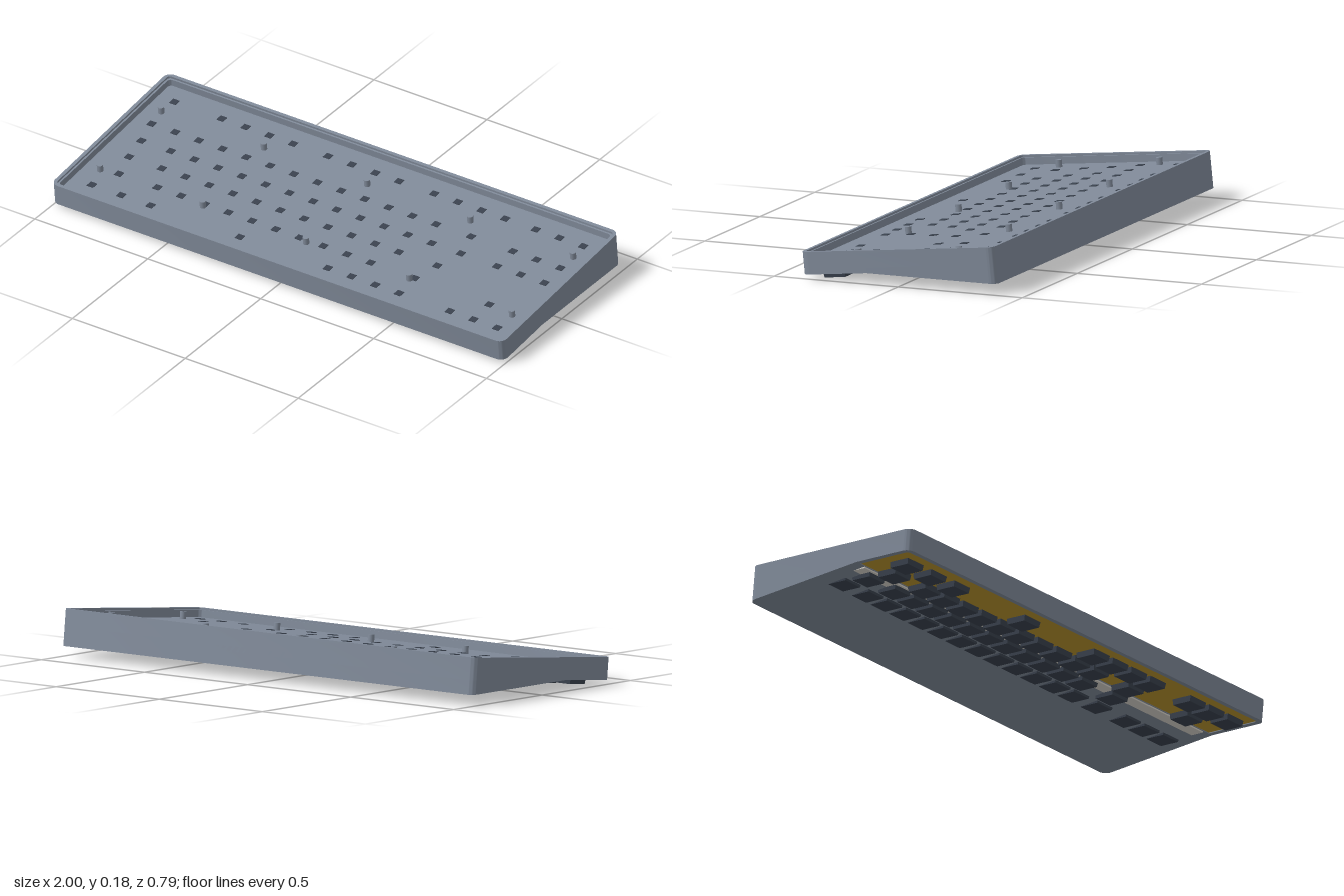
import * as THREE from 'three';
import { toCreasedNormals } from 'three/addons/utils/BufferGeometryUtils.js';

const TILT = 0.103;            // typing angle of the whole case
const HALF_X = 1, HALF_Z = 0.39;
const FLOOR = -0.035, RIM_BOTTOM = -0.085;
const ORIGIN_Y = 0.14, ORIGIN_Z = 0.0075, FOOT_Y = 0.042;

const paint = (color) => new THREE.MeshStandardMaterial({ color });

// Rounded rectangle in x/z; front corners can be left square
function roundedRect(Type, hx, z0, z1, r, rf = r) {
  const s = new Type();
  s.moveTo(-hx + r, z0);
  s.lineTo(hx - r, z0);
  s.absarc(hx - r, z0 + r, r, -Math.PI / 2, 0, false);
  s.lineTo(hx, z1 - rf);
  if (rf > 0) s.absarc(hx - rf, z1 - rf, rf, 0, Math.PI / 2, false);
  s.lineTo(-hx + rf, z1);
  if (rf > 0) s.absarc(-hx + rf, z1 - rf, rf, Math.PI / 2, Math.PI, false);
  s.lineTo(-hx, z0 + r);
  s.absarc(-hx + r, z0 + r, r, Math.PI, Math.PI * 1.5, false);
  return s;
}

// Extrude a plan shape downwards from a top height
function slab(shape, top, depth) {
  const g = new THREE.ExtrudeGeometry(shape, { depth, bevelEnabled: false, curveSegments: 8 });
  g.rotateX(Math.PI / 2);
  g.translate(0, top, 0);
  return g;
}

export function createModel() {
  const model = new THREE.Group();
  model.name = 'keyboardCase';
  const tilted = new THREE.Group();
  tilted.name = 'tiltedAssembly';
  tilted.position.set(0, ORIGIN_Y, ORIGIN_Z);
  tilted.rotation.x = TILT;
  model.add(tilted);

  const caseMat = paint(0x808a99);
  const keyMat = paint(0x3a424e);
  const plateMat = paint(0xb8922c);
  const stripMat = paint(0xd6d2ca);

  const add = (name, geometry, material, x = 0, y = 0, z = 0, parent = tilted) => {
    const mesh = new THREE.Mesh(geometry, material);
    mesh.name = name;
    mesh.position.set(x, y, z);
    parent.add(mesh);
    return mesh;
  };
  const box = (name, w, top, bottom, z0, z1, mat) =>
    add(name, new THREE.BoxGeometry(w, top - bottom, z1 - z0), mat, 0, (top + bottom) / 2, (z0 + z1) / 2);

  // Surrounding wall, with a thin raised lip stepping out to the edge
  const ring = (wall, top, bottom) => {
    const shape = roundedRect(THREE.Shape, HALF_X, -HALF_Z, HALF_Z, 0.03);
    shape.holes.push(roundedRect(THREE.Path, HALF_X - wall, -HALF_Z + wall, HALF_Z - wall, 0.014));
    return toCreasedNormals(slab(shape, top, top - bottom), 0.6);
  };
  add('rimLip', ring(0.014, 0, -0.008), caseMat);
  add('rimWall', ring(0.021, -0.008, RIM_BOTTOM), caseMat);

  // Tray floor
  box('trayFloor', 1.97, FLOOR, -0.07, -0.38, 0.38, caseMat);

  // Rear wedge: its underside is pushed down onto a level plane
  const sin = Math.sin(TILT), cos = Math.cos(TILT);
  const levelAt = (z) => (z * sin - (ORIGIN_Y - FOOT_Y)) / cos;
  const wedgeFront = (RIM_BOTTOM * cos + ORIGIN_Y - FOOT_Y) / sin;
  const wedge = slab(roundedRect(THREE.Shape, HALF_X, -HALF_Z, wedgeFront, 0.03, 0), RIM_BOTTOM + 0.02, 0.02);
  const p = wedge.attributes.position;
  for (let i = 0; i < p.count; i++) {
    if (p.getY(i) < RIM_BOTTOM + 0.01) p.setY(i, levelAt(p.getZ(i)));
  }
  wedge.computeVertexNormals();
  add('rearWedge', toCreasedNormals(wedge, 0.6), caseMat);

  // Exposed plate and light strip on the underside
  box('switchPlate', 1.96, -0.065, -0.082, 0.12, 0.371, plateMat);
  box('lightStrip', 1.9, -0.07, -0.091, 0.03, 0.128, stripMat);

  // Standoffs in the tray
  const post = new THREE.CylinderGeometry(0.012, 0.012, 0.03, 16);
  for (const z of [-0.212, 0.195]) {
    for (const x of [-0.912, -0.457, 0, 0.457, 0.912]) {
      add('standoff', post, caseMat, x, FLOOR + 0.0125, z);
    }
  }

  // Key positions, row by row
  const run = (start, count) => Array.from({ length: count }, (_, i) => start + i * 0.105);
  const cluster = [0.695, 0.8, 0.905];
  const rows = [
    [-0.289, [-0.905, ...run(-0.695, 4), ...run(-0.225, 4), ...run(0.245, 4), ...cluster]],
    [-0.136, [...run(-0.905, 13), 0.51, ...cluster]],
    [-0.031, [-0.88, ...run(-0.75, 12), 0.535, ...cluster]],
    [0.074, [-0.865, ...run(-0.72, 11), 0.5]],
    [0.179, [-0.84, ...run(-0.67, 10), 0.47, 0.8]],
    [0.284, [-0.89, -0.76, -0.63, -0.235, ...run(0.155, 4), ...cluster]],
  ];

  // Downward-facing keycap, slightly narrower at its outer face, and its stem
  const cap = new THREE.CylinderGeometry(0.088 / Math.SQRT2, 0.083 / Math.SQRT2, 0.022, 4, 1)
    .rotateY(Math.PI / 4).toNonIndexed();
  cap.computeVertexNormals();
  const stem = new THREE.BoxGeometry(0.028, 0.065, 0.028);
  for (const [z, xs] of rows) {
    for (const x of xs) {
      const key = new THREE.Group();
      key.name = 'key';
      key.position.set(x, 0, z);
      add('keycap', cap, keyMat, 0, -0.0955, 0, key);
      add('keyStem', stem, keyMat, 0, FLOOR + 0.002 - 0.0325, 0, key);
      tilted.add(key);
    }
  }
  return model;
}
